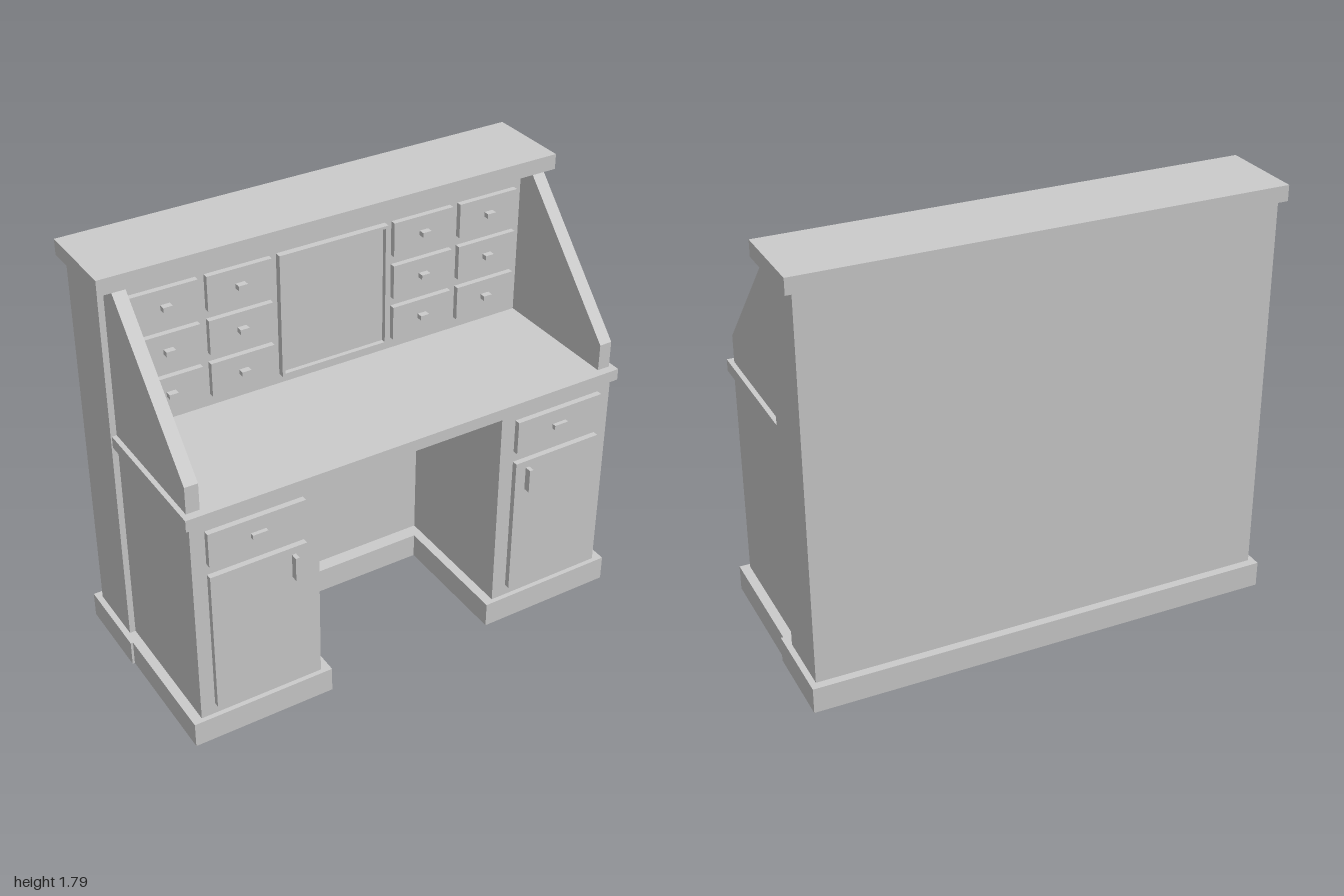
import * as THREE from 'three';

const material = new THREE.MeshStandardMaterial({ color: 0xcccccc });

export function createModel() {
  const desk = new THREE.Group();
  desk.name = 'desk';

  // Box given by its minimum and maximum on each axis
  const box = (name, x0, x1, y0, y1, z0, z1) => {
    const mesh = new THREE.Mesh(new THREE.BoxGeometry(x1 - x0, y1 - y0, z1 - z0), material);
    mesh.position.set((x0 + x1) / 2, (y0 + y1) / 2, (z0 + z1) / 2);
    mesh.name = name;
    desk.add(mesh);
  };
  // The same box on the left (s = 1) or right (s = -1)
  const sided = (s, name, x0, x1, ...rest) =>
    box(name, Math.min(s * x0, s * x1), Math.max(s * x0, s * x1), ...rest);

  // Rear cabinet, plinth, top board and desktop
  const face = -0.17;
  box('backCabinet', -0.97, 0.97, 0.11, 1.73, -0.44, face);
  box('backPlinth', -0.995, 0.995, 0, 0.11, -0.475, -0.11);
  box('topBoard', -1, 1, 1.73, 1.795, -0.46, -0.092);
  box('desktop', -0.965, 0.965, 1.03, 1.08, face, 0.445);

  // Sloped profile of the upper side panels, drawn as (z, y)
  const profile = new THREE.Shape([
    [face, 1.08], [0.41, 1.08], [0.41, 1.195], [-0.092, 1.73], [face, 1.73],
  ].map(([z, y]) => new THREE.Vector2(-z, y)));
  const panelGeometry = new THREE.ExtrudeGeometry(profile, { depth: 0.055, bevelEnabled: false });
  panelGeometry.rotateY(Math.PI / 2);

  for (const s of [1, -1]) {
    // Pedestal with plinth, drawer and door
    sided(s, 'pedestal', 0.415, 0.945, 0.11, 1.03, face, 0.425);
    sided(s, 'pedestalPlinth', 0.375, 0.985, 0, 0.11, -0.11, 0.445);
    sided(s, 'pedestalDrawer', 0.48, 0.885, 0.842, 0.99, 0.425, 0.449);
    sided(s, 'pedestalDrawerKnob', 0.648, 0.712, 0.908, 0.928, 0.449, 0.466);
    sided(s, 'door', 0.48, 0.885, 0.16, 0.792, 0.425, 0.449);
    sided(s, 'doorHandle', 0.528, 0.545, 0.655, 0.76, 0.449, 0.478);

    // Sloped side panel
    const panel = new THREE.Mesh(panelGeometry, material);
    panel.name = 'sidePanel';
    panel.position.x = s > 0 ? 0.89 : -0.945;
    desk.add(panel);

    // Two columns of three small drawers
    for (const x of [0.272, 0.582]) {
      for (const y of [1.13, 1.318, 1.507]) {
        sided(s, 'smallDrawer', x, x + 0.275, y, y + 0.148, face, face + 0.024);
        sided(s, 'smallDrawerKnob', x + 0.118, x + 0.157, y + 0.066, y + 0.086, face + 0.024, face + 0.05);
      }
    }
  }

  // Central framed panel, recessed within its frame
  const w = 0.242, b = 0.012, y0 = 1.122, y1 = 1.657, front = face + 0.028;
  box('centrePanel', -w + b, w - b, y0 + b, y1 - b, face, face + 0.008);
  box('frameBottom', -w, w, y0, y0 + b, face, front);
  box('frameTop', -w, w, y1 - b, y1, face, front);
  for (const s of [1, -1]) sided(s, 'frameSide', w - b, w, y0 + b, y1 - b, face, front);

  return desk;
}
